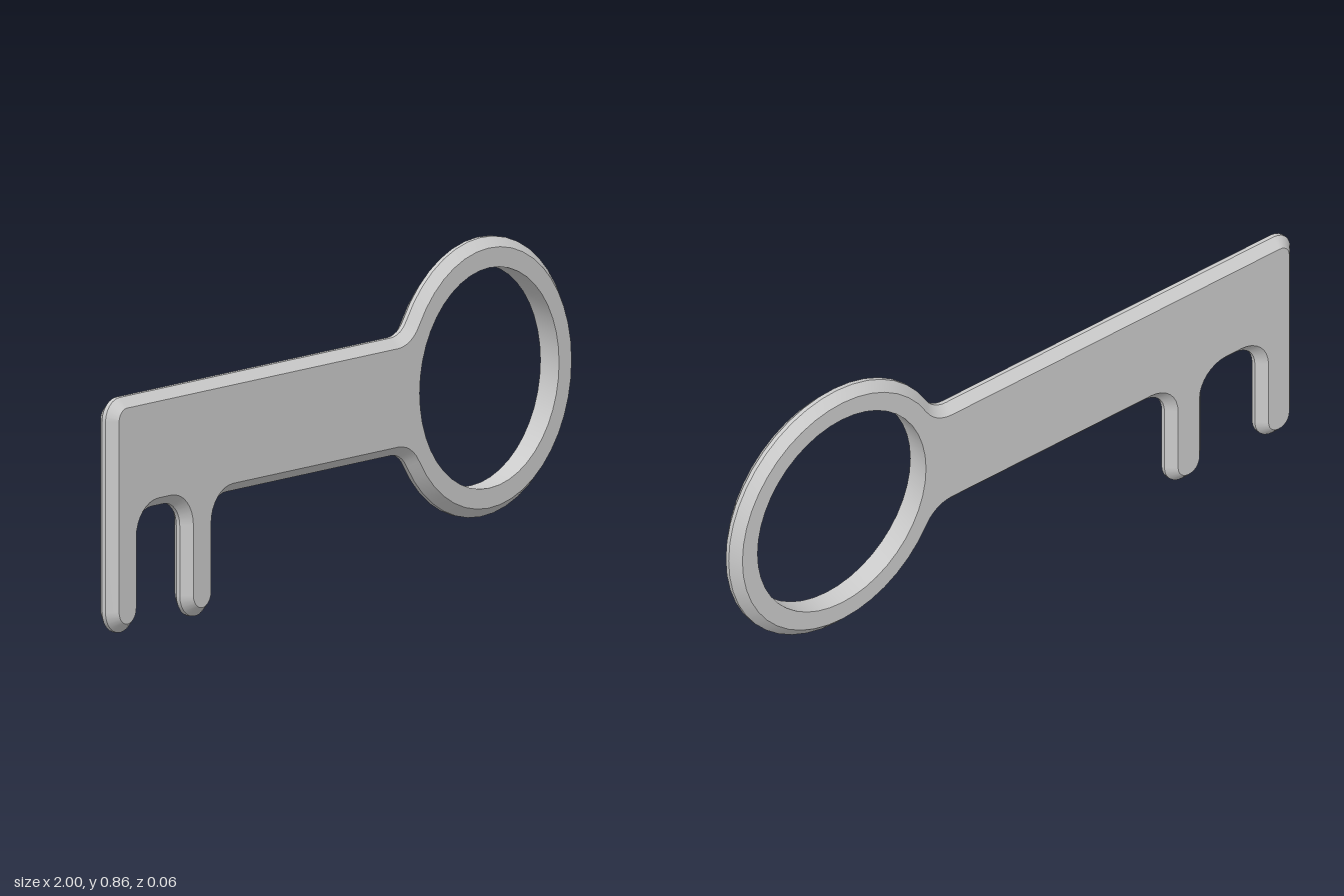
import * as THREE from 'three';

const HALF = 0.032, EDGE = 0.006, INSET = 0.026;
const RING = { x: 0.62, y: 0.48, outer: 0.38, hole: 0.3 };

// Outline (counter-clockwise) moved inward by d. Each arc: cx, cy, radius, start, end in degrees.
// Arcs that run clockwise are inner fillets, so their radius grows with d.
function outline(d) {
  const f = 0.08, dy = 0.16 + f;
  const dx = Math.sqrt((RING.outer + f) ** 2 - dy ** 2);
  const a = THREE.MathUtils.radToDeg(Math.atan2(dy, dx));
  const arcs = [
    [-0.94, 0.58, 0.06, 90, 180, 6],                          // top corner
    [-0.937, 0.063, 0.063, 180, 360, 12],                     // end tooth tip
    [-0.804, 0.255, 0.07, 180, 90, 8],                        // notch
    [-0.75, 0.255, 0.07, 90, 0, 8],
    [-0.616, 0.064, 0.064, 180, 360, 12],                     // second tooth tip
    [-0.482, 0.25, 0.07, 180, 90, 8],
    [RING.x - dx, RING.y - dy, f, 90, a, 6],                  // neck
    [RING.x, RING.y, RING.outer, 180 + a, 540 - a, 36],       // bow
    [RING.x - dx, RING.y + dy, f, -a, -90, 6],                // neck
  ];
  const pts = [];
  for (const [cx, cy, r, s, e, n] of arcs) {
    const rad = e > s ? r - d : r + d;
    for (let i = 0; i <= n; i++) {
      const t = THREE.MathUtils.degToRad(s + (e - s) * i / n);
      pts.push(new THREE.Vector2(cx + rad * Math.cos(t), cy + rad * Math.sin(t)));
    }
  }
  return pts;
}

// Closed strip joining two matching loops; smooth along its length
function band(a, za, b, zb) {
  const n = a.length, pos = [], index = [];
  for (const p of a) pos.push(p.x, p.y, za);
  for (const p of b) pos.push(p.x, p.y, zb);
  for (let i = 0; i < n; i++) {
    const j = (i + 1) % n;
    index.push(i, j, n + j, i, n + j, n + i);
  }
  const g = new THREE.BufferGeometry();
  g.setAttribute('position', new THREE.Float32BufferAttribute(pos, 3));
  g.setIndex(index);
  g.computeVertexNormals();
  return g;
}

export function createModel() {
  const group = new THREE.Group();
  const material = new THREE.MeshStandardMaterial({ color: 0xcccccc });
  const add = (name, geometry) => {
    const mesh = new THREE.Mesh(geometry, material);
    mesh.name = name;
    group.add(mesh);
  };

  const rim = outline(0), face = outline(INSET);
  const hole = [];
  for (let i = 0; i < 44; i++) {
    const t = i / 44 * Math.PI * 2;
    hole.push(new THREE.Vector2(RING.x + RING.hole * Math.cos(t), RING.y + RING.hole * Math.sin(t)));
  }

  // Flat faces
  const shape = new THREE.Shape(face);
  shape.holes.push(new THREE.Path(hole));
  const front = new THREE.ShapeGeometry(shape);
  const back = front.clone();
  back.setIndex(Array.from(front.index.array).reverse());
  back.computeVertexNormals();
  add('frontFace', front.translate(0, 0, HALF));
  add('backFace', back.translate(0, 0, -HALF));

  // Chamfered outer edge
  add('backChamfer', band(face, -HALF, rim, -EDGE));
  add('outerRim', band(rim, -EDGE, rim, EDGE));
  add('frontChamfer', band(rim, EDGE, face, HALF));

  // Straight wall of the ring hole
  add('ringHoleWall', band(hole, HALF, hole, -HALF));
  return group;
}
